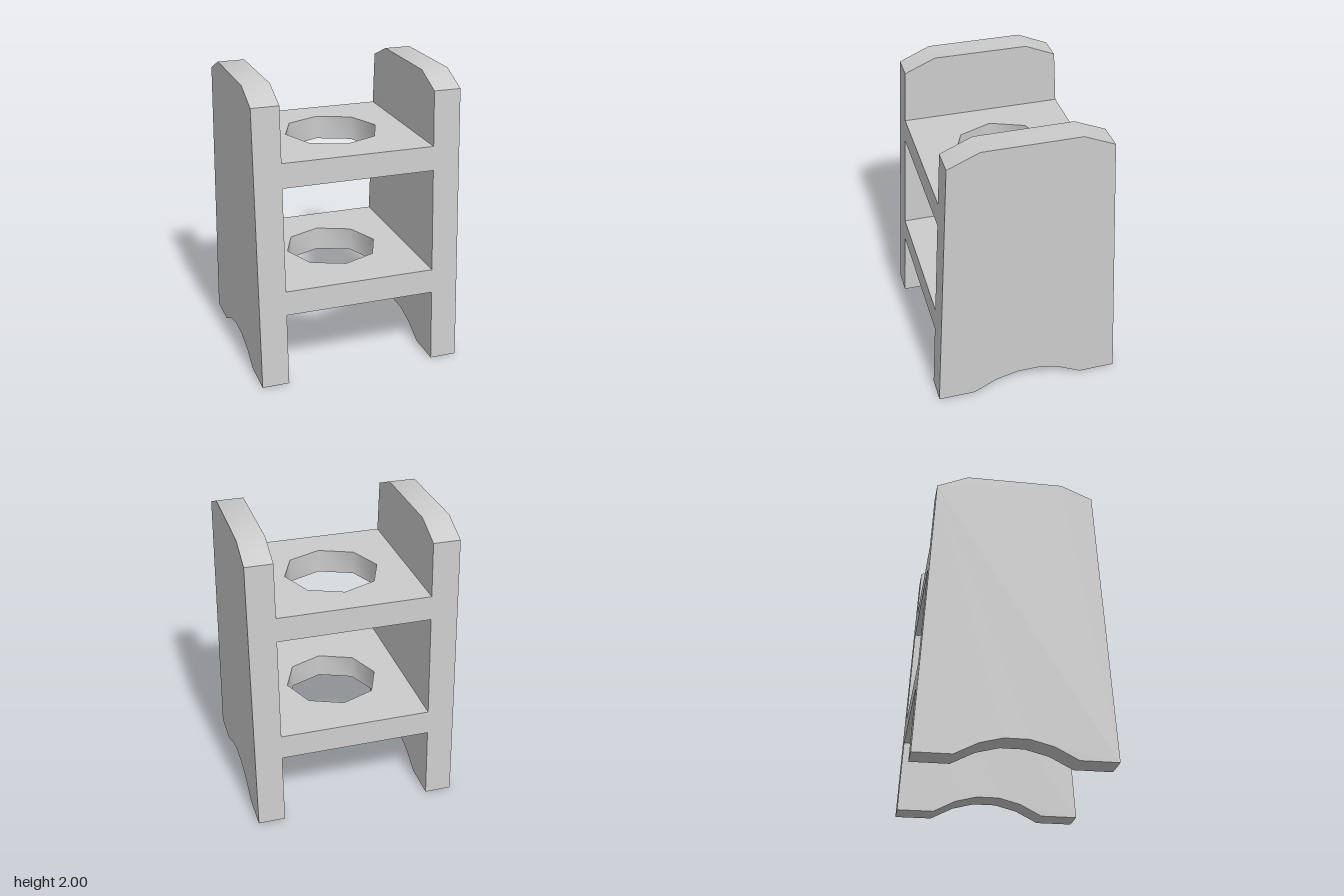
import * as THREE from 'three';
import { toCreasedNormals } from 'three/addons/utils/BufferGeometryUtils.js';

const CREASE = 0.87;
const INNER = 0.52, OUTER = 0.705;
// half depth of the tapering side panels at height y
const halfDepth = (y) => 0.645 - 0.0576 * y;

const material = new THREE.MeshStandardMaterial({ color: 0xcccccc });

// Tapered upright with clipped top corners and an arched cut-out at the foot
function sidePanel() {
  const half = [[0.08, 0.12], [0.235, 0.08], [0.39, 0], [0.645, 0], [0.535, 1.91], [0.325, 2]];
  const mirrored = half.map(([z, y]) => [-z, y]).reverse();
  const shape = new THREE.Shape([...half, ...mirrored].map((p) => new THREE.Vector2(...p)));
  const geo = new THREE.ExtrudeGeometry(shape, { depth: OUTER - INNER, bevelEnabled: false });
  geo.translate(0, 0, -(OUTER - INNER) / 2).rotateY(-Math.PI / 2);
  return toCreasedNormals(geo, CREASE);
}

// Shelf with an octagonal hole; its front and back edges follow the panel taper
function shelf(bottom, top) {
  const d = 0.6;
  const shape = new THREE.Shape([[-INNER, -d], [INNER, -d], [INNER, d], [-INNER, d]]
    .map((p) => new THREE.Vector2(...p)));
  const hole = [];
  for (let i = 0; i < 8; i++) {
    const a = -i * Math.PI / 4;
    hole.push(new THREE.Vector2(0.327 * Math.cos(a), 0.007 + 0.327 * Math.sin(a)));
  }
  shape.holes.push(new THREE.Path(hole));
  const geo = new THREE.ExtrudeGeometry(shape, { depth: top - bottom, bevelEnabled: false });
  geo.rotateX(-Math.PI / 2).translate(0, bottom, 0);
  const pos = geo.attributes.position;
  for (let i = 0; i < pos.count; i++) {
    const z = pos.getZ(i);
    if (Math.abs(z) > 0.5) pos.setZ(i, Math.sign(z) * halfDepth(pos.getY(i)));
  }
  return toCreasedNormals(geo, CREASE);
}

export function createModel() {
  const group = new THREE.Group();
  group.name = 'shelfStand';
  const add = (name, geo, x = 0) => {
    const mesh = new THREE.Mesh(geo, material);
    mesh.name = name;
    mesh.position.x = x;
    group.add(mesh);
  };

  // Side panels
  const panel = sidePanel();
  add('leftPanel', panel, (INNER + OUTER) / 2);
  add('rightPanel', panel, -(INNER + OUTER) / 2);

  // Shelves
  add('lowerShelf', shelf(0.5, 0.667));
  add('upperShelf', shelf(1.375, 1.54));

  return group;
}
